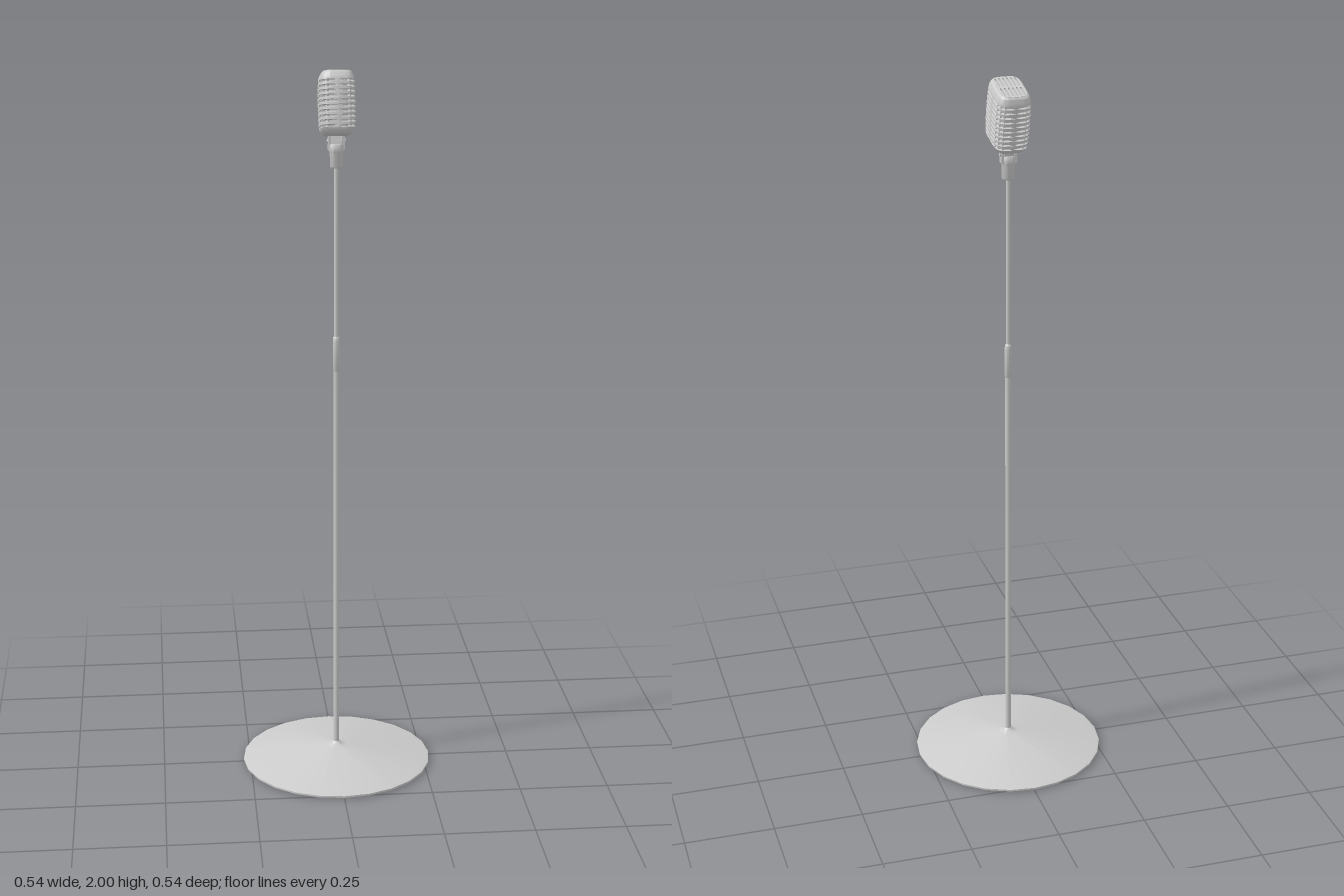
import * as THREE from 'three';
import { toCreasedNormals } from 'three/addons/utils/BufferGeometryUtils.js';

const material = new THREE.MeshStandardMaterial({ color: 0xcccccc, side: THREE.DoubleSide });

function add(parent, name, geometry, x = 0, y = 0, z = 0) {
  const mesh = new THREE.Mesh(geometry, material);
  mesh.name = name;
  mesh.position.set(x, y, z);
  parent.add(mesh);
  return mesh;
}

function lathe(points, segments) {
  const g = new THREE.LatheGeometry(points.map(([r, y]) => new THREE.Vector2(r, y)), segments);
  return toCreasedNormals(g, 0.6);
}

// Barrel-sided rounded rectangle, the plan of the head
const SIDES = 80;
function planPoint(i, inset) {
  const a = (i / SIDES) * Math.PI * 2;
  const c = Math.cos(a), s = Math.sin(a);
  const power = (v, p) => Math.sign(v) * Math.abs(v) ** p;
  return [power(c, 0.45) * Math.max(0, 0.048 - inset), power(s, 0.45) * Math.max(0, 0.070 - inset)];
}

// Head shell: stacked plan rings, with slots pressed in between ribs
function headShell() {
  const rings = [[-0.083, 0.07, 0], [-0.083, 0.016, 0], [-0.080, 0.009, 0], [-0.073, 0.004, 0]];
  const rows = 10, start = -0.066, pitch = 0.0132;
  for (let r = 0; r < rows; r++) {
    const y = start + r * pitch;
    rings.push([y, 0, 0], [y + 0.0015, 0, 0.006], [y + 0.0055, 0, 0.006], [y + 0.007, 0, 0]);
  }
  rings.push([0.070, 0.001, 0], [0.077, 0.003, 0], [0.082, 0.006, 0], [0.084, 0.010, 0],
    [0.078, 0.010, 0], [0.078, 0.07, 0]);
  const positions = [], index = [];
  rings.forEach(([y, inset, slot], r) => {
    const bulge = 0.003 * (y / 0.085) ** 2;
    for (let i = 0; i < SIDES; i++) {
      const bar = i % 5 === 0;
      const [x, z] = planPoint(i, inset + bulge + (bar ? 0 : slot));
      positions.push(x, y, z);
      if (r === rings.length - 1) continue;
      const a = r * SIDES + i, b = r * SIDES + (i + 1) % SIDES;
      index.push(a, a + SIDES, b + SIDES, a, b + SIDES, b);
    }
  });
  const g = new THREE.BufferGeometry();
  g.setAttribute('position', new THREE.Float32BufferAttribute(positions, 3));
  g.setIndex(index);
  return toCreasedNormals(g, 0.6);
}

// Top grille: plate with two rows of long slots
function topGrille() {
  const shape = new THREE.Shape();
  for (let i = 0; i < SIDES; i++) {
    const [x, z] = planPoint(i, 0.012);
    if (i) shape.lineTo(x, z); else shape.moveTo(x, z);
  }
  const w = 0.0024;
  for (const side of [-1, 1]) {
    for (let k = -2.5; k <= 2.5; k++) {
      const x = k * 0.0108, z = side * 0.0275, h = Math.abs(k) > 2 ? 0.019 : 0.021;
      const hole = new THREE.Path();
      hole.moveTo(x + w, z - h);
      hole.lineTo(x + w, z + h);
      hole.absarc(x, z + h, w, 0, Math.PI, false);
      hole.lineTo(x - w, z - h);
      hole.absarc(x, z - h, w, Math.PI, Math.PI * 2, false);
      shape.holes.push(hole);
    }
  }
  const g = new THREE.ExtrudeGeometry(shape, { depth: 0.007, bevelEnabled: false, curveSegments: 4 });
  return g.rotateX(-Math.PI / 2);
}

export function createModel() {
  const model = new THREE.Group();
  model.name = 'microphoneStand';

  // Hollow conical foot with a small hub
  add(model, 'base', lathe([
    [0.0, 0.040], [0.012, 0.039], [0.03, 0.034], [0.262, 0.003], [0.266, 0],
    [0.270, 0.004], [0.270, 0.009], [0.262, 0.012], [0.03, 0.044], [0.016, 0.048], [0.009, 0.056],
  ], 24));

  // Telescopic pole
  add(model, 'lowerPole', new THREE.CylinderGeometry(0.008, 0.008, 1.15, 16), 0, 0.615, 0);
  add(model, 'upperPole', new THREE.CylinderGeometry(0.0062, 0.0062, 0.56, 16), 0, 1.47, 0);
  add(model, 'poleCollar', lathe([
    [0.008, 1.17], [0.0095, 1.173], [0.0095, 1.255], [0.0085, 1.265], [0.006, 1.268],
  ], 16));

  // Socket, fork and pivot under the head
  add(model, 'socket', lathe([
    [0, 1.735], [0.015, 1.735], [0.017, 1.738], [0.018, 1.775], [0.020, 1.780],
    [0.020, 1.796], [0.018, 1.80], [0, 1.80],
  ], 20));
  for (const side of [-1, 1]) {
    add(model, 'forkArm', new THREE.BoxGeometry(0.007, 0.04, 0.022), side * 0.0185, 1.802, -0.004);
  }
  add(model, 'neck', new THREE.BoxGeometry(0.028, 0.044, 0.018), 0, 1.812, -0.006).rotation.x = -0.24;
  add(model, 'pivot', new THREE.CylinderGeometry(0.006, 0.006, 0.05, 12), 0, 1.806, -0.004)
    .rotation.z = Math.PI / 2;

  // Tilted head
  const head = new THREE.Group();
  head.name = 'head';
  head.position.set(0, 1.906, 0.002);
  head.rotation.x = -0.24;
  model.add(head);
  add(head, 'headShell', headShell());
  add(head, 'topGrille', topGrille(), 0, 0.0775, 0);

  return model;
}
